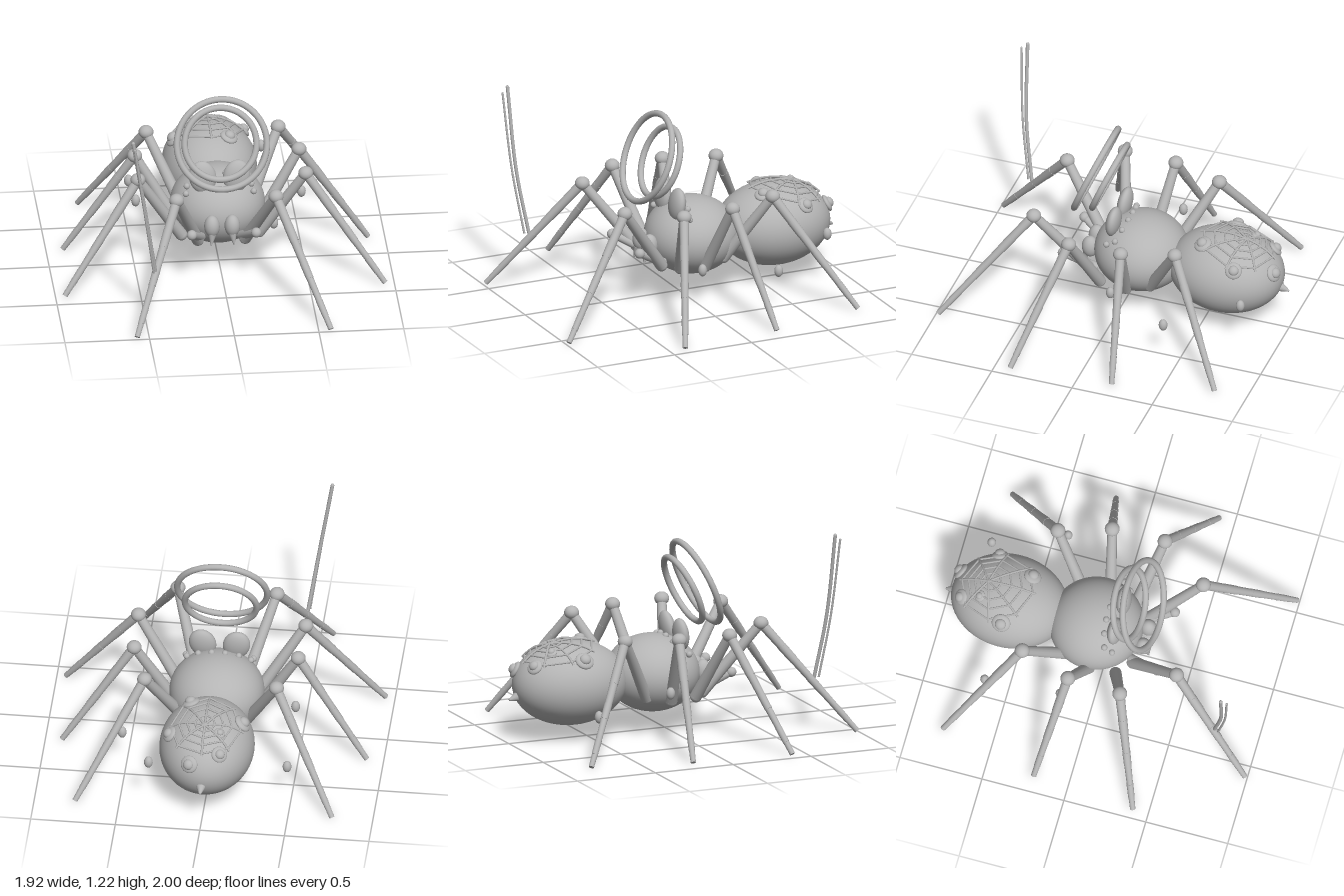
import * as THREE from 'three';

const V = (x, y, z) => new THREE.Vector3(x, y, z);
const UP = V(0, 1, 0);

export function createModel() {
  const model = new THREE.Group();
  const grey = new THREE.MeshStandardMaterial({ color: 0xb4b4b4 });
  grey.name = 'plain grey';

  const add = (name, geo, parent = model) => {
    const mesh = new THREE.Mesh(geo, grey);
    mesh.name = name;
    parent.add(mesh);
    return mesh;
  };
  const group = (name) => {
    const g = new THREE.Group();
    g.name = name;
    model.add(g);
    return g;
  };
  const ball = (name, p, rx, ry = rx, rz = rx, parent = model, seg = 20) => {
    const m = add(name, new THREE.SphereGeometry(1, seg * 2, seg), parent);
    m.position.copy(p);
    m.scale.set(rx, ry, rz);
    return m;
  };
  // tapered cylinder from a (radius ra) to b (radius rb)
  const rod = (name, a, b, ra, rb, parent = model, seg = 14) => {
    const d = b.clone().sub(a);
    const m = add(name, new THREE.CylinderGeometry(rb, ra, d.length(), seg), parent);
    m.position.copy(a).addScaledVector(d, 0.5);
    m.quaternion.setFromUnitVectors(UP, d.normalize());
    return m;
  };

  // Body
  const AC = V(0, 0.335, -0.61), AR = V(0.28, 0.25, 0.35);
  ball('abdomen', AC, AR.x, AR.y, AR.z, model, 28);
  ball('thorax', V(0, 0.345, -0.08), 0.28, 0.23, 0.28, model, 28);

  // Point and normal on the upper side of the abdomen
  const onAbdomen = (x, z, lift = 0) => {
    const u = x / AR.x, w = (z - AC.z) / AR.z;
    const p = V(x, AC.y + AR.y * Math.sqrt(Math.max(0, 1 - u * u - w * w)), z);
    const n = p.clone().sub(AC).divide(AR).divide(AR).normalize();
    return { p: p.addScaledVector(n, lift), n };
  };

  // Web on the abdomen
  const web = group('web');
  const webPoint = (r, i) => {
    const a = (i / 8) * Math.PI * 2;
    return onAbdomen(r * 0.95 * Math.sin(a), -0.735 + 0.25 * r + r * Math.cos(a), 0.012).p;
  };
  const rings = [0.06, 0.11, 0.16, 0.21];
  for (let i = 0; i < 8; i++) {
    const spoke = new THREE.CatmullRomCurve3([0, 0.08, 0.16, 0.225].map((r) => webPoint(r, i)));
    add('webSpoke', new THREE.TubeGeometry(spoke, 12, 0.007, 6), web);
    for (const r of rings) rod('webThread', webPoint(r, i), webPoint(r, i + 1), 0.006, 0.006, web, 6);
  }

  // Domed buttons on the abdomen: x, z, radius
  const buttons = [
    [0.205, -0.725, 0.05], [0.105, -0.5, 0.053], [-0.205, -0.605, 0.056],
    [-0.1, -0.875, 0.048], [0.07, -0.925, 0.052], [-0.09, -0.765, 0.034],
  ];
  for (const [x, z, r] of buttons) {
    const g = group('button');
    const { p, n } = onAbdomen(x, z, 0.004);
    g.position.copy(p);
    g.quaternion.setFromUnitVectors(UP, n);
    ball('buttonRim', V(0, 0, 0), r, r * 0.4, r, g, 14);
    ball('buttonDome', V(0, r * 0.3, 0), r * 0.6, r * 0.45, r * 0.6, g, 12);
  }

  // Spinneret
  rod('spinneret', V(0, 0.29, -0.92), V(0, 0.265, -0.998), 0.04, 0.006);

  // Paired parts; s = 1 is the left side
  const legs = [ // hip, knee, foot
    [V(0.14, 0.23, 0.18), V(0.293, 0.65, 0.49), V(0.572, 0.012, 0.985)],
    [V(0.23, 0.23, 0.1), V(0.495, 0.65, 0.2), V(0.945, 0.012, 0.405)],
    [V(0.235, 0.22, -0.06), V(0.485, 0.65, -0.12), V(0.9, 0.012, -0.212)],
    [V(0.19, 0.24, -0.2), V(0.39, 0.65, -0.425), V(0.76, 0.012, -0.805)],
  ];
  for (const s of [1, -1]) {
    const side = (p) => V(p.x * s, p.y, p.z);
    legs.forEach((leg, i) => {
      const [hip, knee, foot] = leg.map(side);
      const g = group((s > 0 ? 'left' : 'right') + 'Leg' + (i + 1));
      rod('upperLeg', hip, knee, 0.036, 0.028, g);
      ball('hip', hip, 0.036, 0.036, 0.036, g, 10);
      ball('knee', knee, 0.044, 0.04, 0.044, g, 14);
      const at = (t) => knee.clone().lerp(foot, t);
      const rad = (t) => 0.029 - 0.013 * t;
      rod('lowerLeg', knee, foot, rad(0), rad(1), g);
      for (const t of [0.22, 0.5, 0.78])
        rod('legBand', at(t), at(t + 0.12), rad(t) + 0.0015, rad(t + 0.12) + 0.0015, g);
    });

    // Face: feelers, jaws and fangs
    const tip = side(V(0.19, 0.345, 0.345));
    rod('feeler', side(V(0.12, 0.24, 0.16)), tip, 0.028, 0.022);
    ball('feelerTip', tip, 0.03);
    ball('jaw', side(V(0.06, 0.335, 0.22)), 0.046, 0.068, 0.05);
    rod('fang', side(V(0.06, 0.29, 0.24)), side(V(0.068, 0.225, 0.26)), 0.025, 0.002);

    // Upright oval lobes and beads on the head
    ball('headLobe', side(V(0.1, 0.58, 0.06)), 0.08, 0.1, 0.042).rotation.set(-0.12, 0, -0.2 * s);
    for (const [x, y, z] of [[0.04, 0.565, -0.01], [0.12, 0.545, 0], [0.19, 0.505, 0.02], [0.2, 0.48, 0.07]])
      ball('bead', side(V(x, y, z)), 0.019, 0.019, 0.019, model, 8);
  }

  // Two tilted rings above the head
  for (const [y, z, R] of [[0.863, 0.205, 0.266], [0.825, 0.12, 0.212]]) {
    const ring = add('ring', new THREE.TorusGeometry(R, 0.019, 10, 64));
    ring.position.set(0, y, z);
    ring.rotation.x = -0.388;
  }

  // Two long strands rising from the right front leg
  const strands = [
    [0.011, V(-0.445, 0.33, 0.765), V(-0.505, 0.72, 0.82), V(-0.582, 1.21, 0.84)],
    [0.007, V(-0.455, 0.33, 0.79), V(-0.51, 0.72, 0.845), V(-0.575, 1.18, 0.875)],
  ];
  for (const [r, ...pts] of strands) {
    const curve = new THREE.CatmullRomCurve3(pts);
    const m = add('strand', new THREE.TubeGeometry(curve, 24, r, 8));
    ball('strandEnd', pts[2], r, r, r, m, 6);
  }

  // Floating drops around the body
  const drops = [
    [0.325, 0.335, -0.81], [0.525, 0.232, -0.4], [0.325, 0.232, 0],
    [-0.475, 0.232, -0.63], [-0.475, 0.33, -0.17],
  ];
  for (const [x, y, z] of drops) ball('drop', V(x, y, z), 0.026, 0.037, 0.026, model, 10);

  return model;
}
